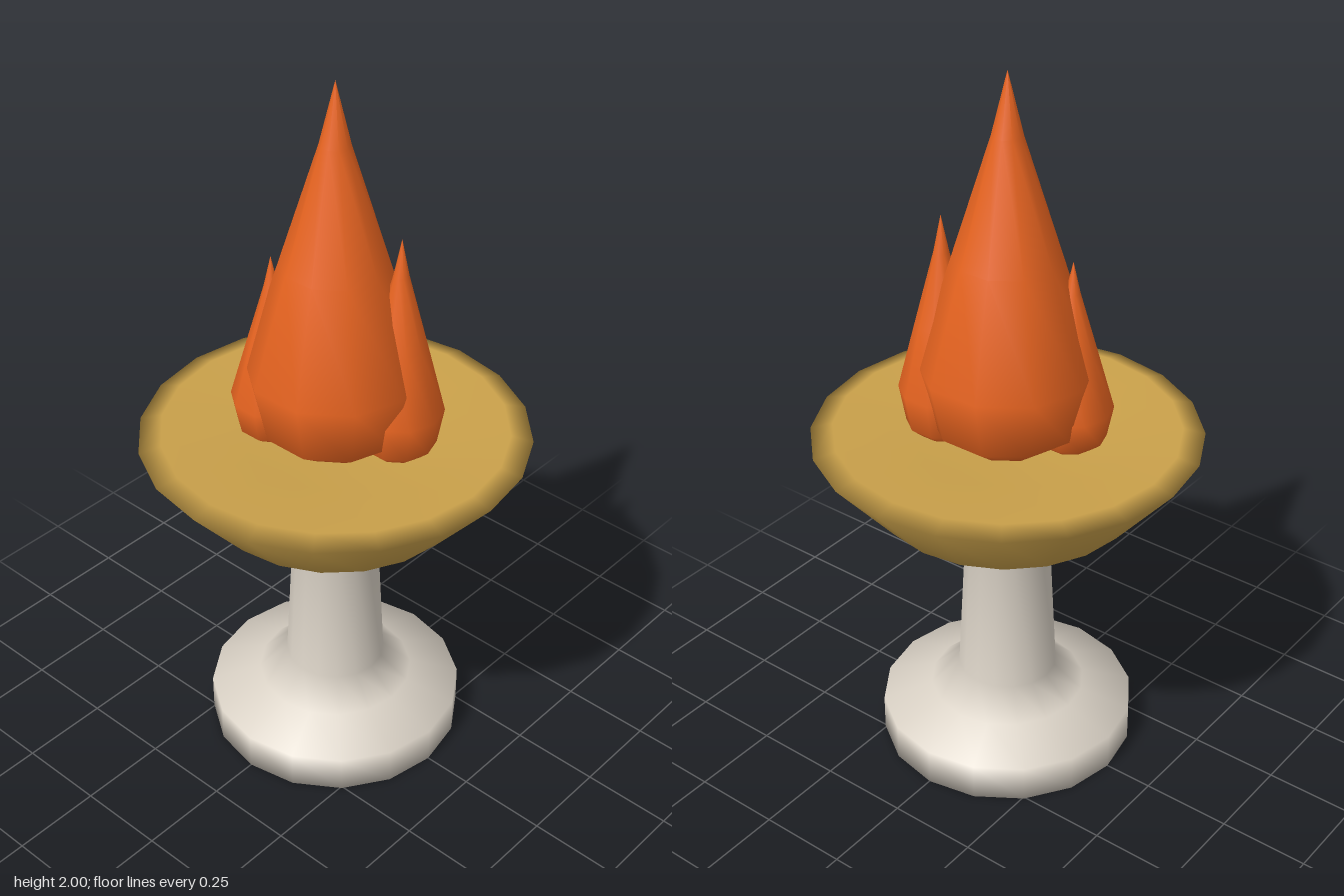
import * as THREE from 'three';

const STONE = new THREE.MeshStandardMaterial({ color: 0xd8d0c4 });
const BRASS = new THREE.MeshStandardMaterial({ color: 0xc9a04a });
const FIRE = new THREE.MeshStandardMaterial({ color: 0xe86420 });

// Turned part from a bottom-to-top profile, with corners on the x axis
function turned(name, profile, sides, material) {
  const points = profile.map(([r, y]) => new THREE.Vector2(r, y));
  const geometry = new THREE.LatheGeometry(points, sides).rotateY(Math.PI / 2);
  const mesh = new THREE.Mesh(geometry, material);
  mesh.name = name;
  return mesh;
}

// Teardrop flame in unit proportions, scaled to radius and height
function flame(name, x, z, radius, height) {
  const profile = [[0, 0], [0.5, 0.01], [0.85, 0.07], [1, 0.229], [0.6, 0.525], [0.17, 0.84], [0, 1]];
  const mesh = turned(name, profile.map(([r, y]) => [r * radius, y * height]), 10, FIRE);
  mesh.position.set(x, 0.95, z);
  return mesh;
}

export function createModel() {
  const model = new THREE.Group();
  model.name = 'brazier';

  // Stone pedestal: foot, tapered column and flared neck
  model.add(turned('pedestal', [
    [0, 0], [0.36, 0], [0.36, 0.105], [0.22, 0.15], [0.14, 0.22], [0.118, 0.65], [0.17, 0.73], [0, 0.73],
  ], 16, STONE));

  // Wide bowl with a rolled rim and a shallow floor
  model.add(turned('bowl', [
    [0, 0.73], [0.17, 0.73], [0.36, 0.785], [0.53, 0.985], [0.47, 1], [0.25, 0.97], [0, 0.96],
  ], 20, BRASS));

  // One tall flame and two small ones at its sides
  model.add(flame('mainFlame', 0, 0, 0.24, 1.05));
  model.add(flame('leftFlame', 0.16, -0.07, 0.122, 0.65));
  model.add(flame('rightFlame', -0.147, 0.083, 0.115, 0.55));

  return model;
}
